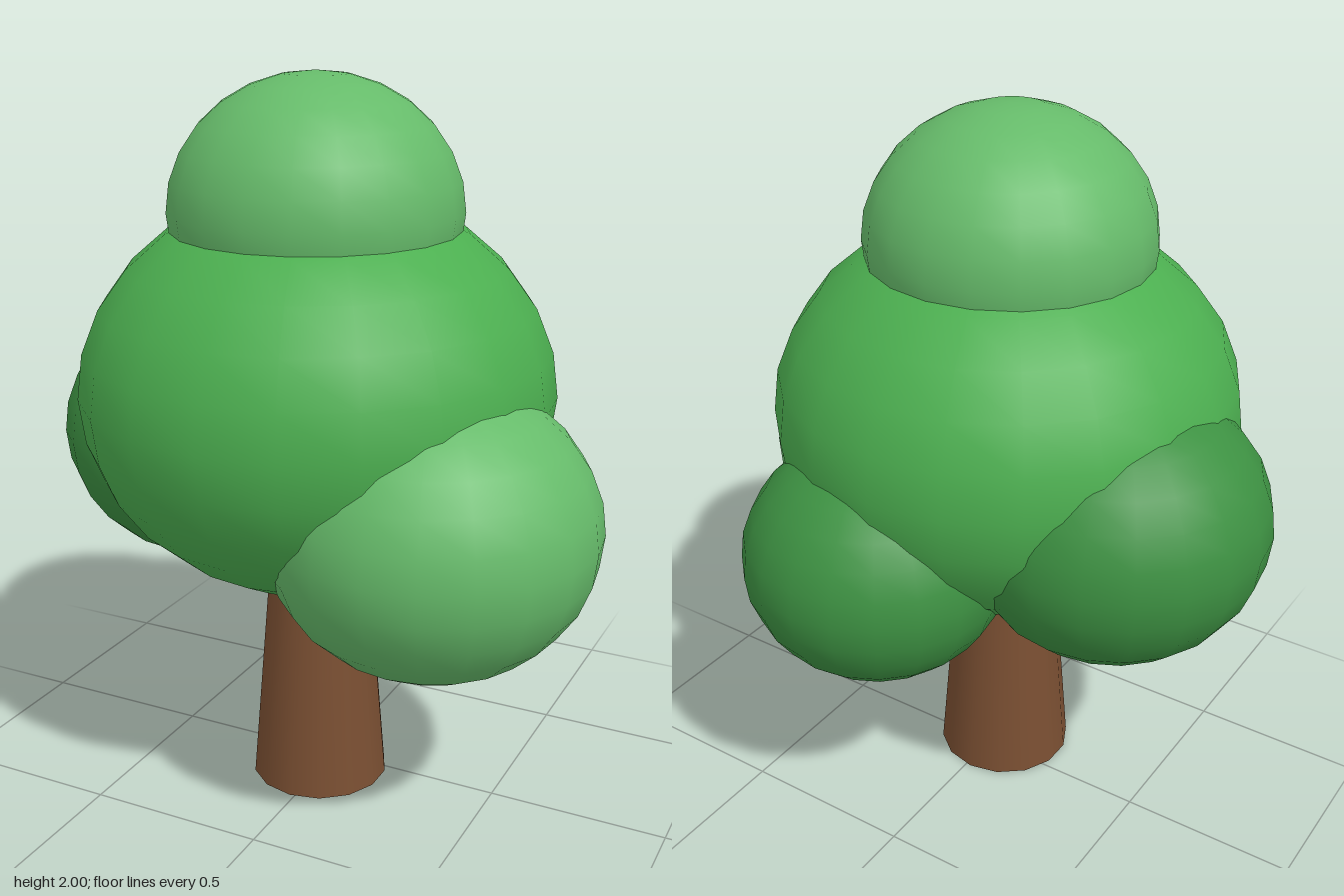
import * as THREE from 'three';

export function createModel() {
  const tree = new THREE.Group();
  tree.name = 'tree';

  const paint = (color) => new THREE.MeshStandardMaterial({ color });
  const bark = paint(0x7a4f32);
  const midGreen = paint(0x4caf50);
  const lightGreen = paint(0x66bb6a);
  const darkGreen = paint(0x3d9142);

  // Tapered trunk, its top hidden inside the crown
  const trunk = new THREE.Mesh(new THREE.CylinderGeometry(0.13, 0.195, 0.8, 14), bark);
  trunk.name = 'trunk';
  trunk.position.set(-0.015, 0.4, 0.067);
  tree.add(trunk);

  // Slightly flattened foliage balls: name, material, centre, radius, height radius
  const ball = new THREE.SphereGeometry(1, 20, 14);
  const foliage = [
    ['crownMain', midGreen, [-0.015, 1.16, 0.073], 0.643, 0.55],
    ['crownTop', lightGreen, [-0.015, 1.647, 0.08], 0.39, 0.353],
    ['crownFrontLeft', lightGreen, [0.383, 0.878, 0.215], 0.442, 0.395],
    ['crownRight', darkGreen, [-0.41, 0.98, -0.02], 0.42, 0.38],
    ['crownBack', darkGreen, [0.125, 0.855, -0.355], 0.367, 0.335],
  ];
  for (const [name, material, centre, radius, height] of foliage) {
    const mesh = new THREE.Mesh(ball, material);
    mesh.name = name;
    mesh.position.set(...centre);
    mesh.scale.set(radius, height, radius);
    tree.add(mesh);
  }
  return tree;
}
